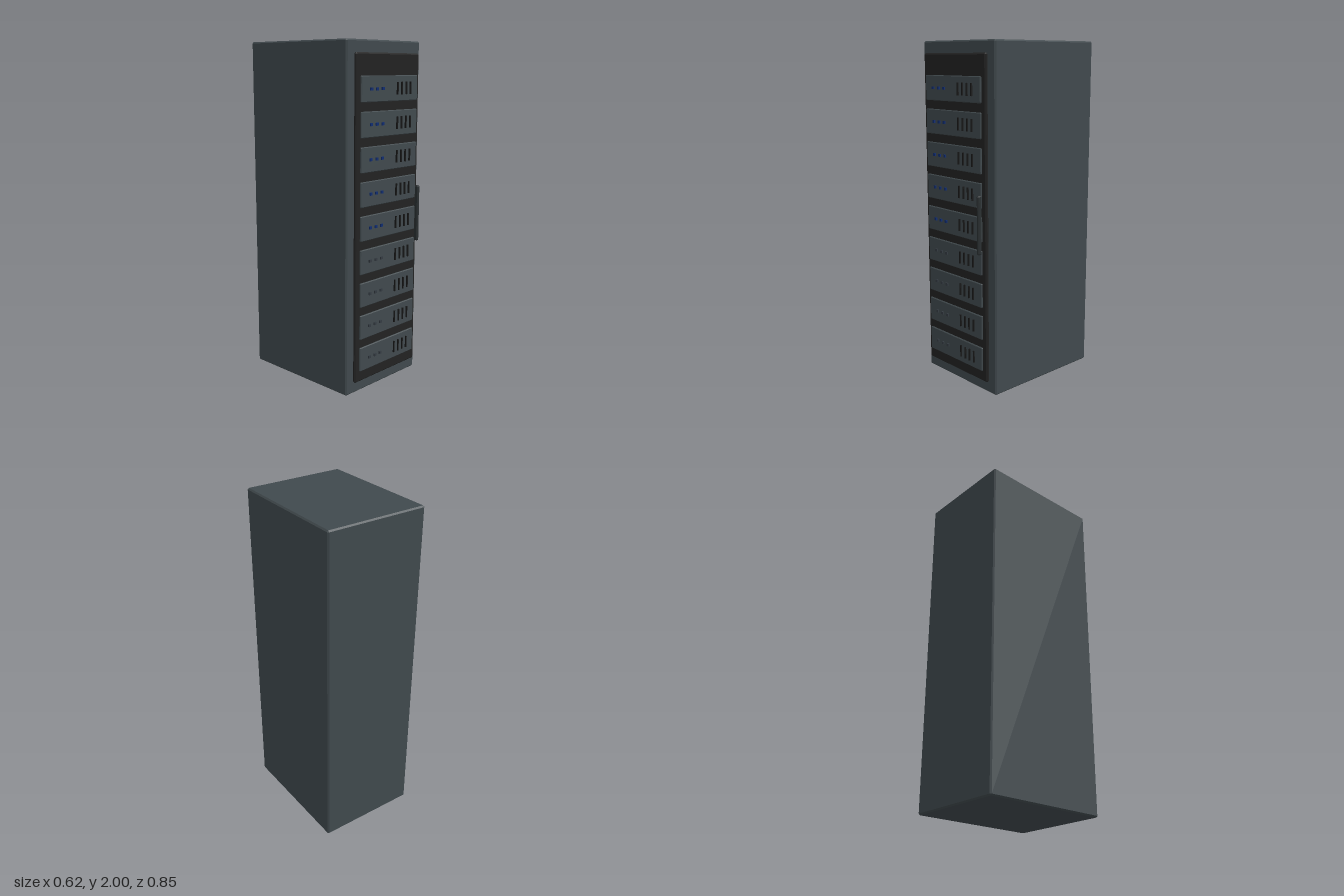
import * as THREE from 'three';
import { ConvexGeometry } from 'three/addons/geometries/ConvexGeometry.js';

function material(name, color) {
  const m = new THREE.MeshStandardMaterial({ color });
  m.name = name;
  return m;
}

// Box with every edge cut by a flat chamfer c
function chamferBox(w, h, d, c) {
  const points = [];
  const x = w / 2, y = h / 2, z = d / 2;
  for (const i of [-1, 1]) for (const j of [-1, 1]) for (const k of [-1, 1]) {
    points.push(
      new THREE.Vector3(i * x, j * (y - c), k * (z - c)),
      new THREE.Vector3(i * (x - c), j * y, k * (z - c)),
      new THREE.Vector3(i * (x - c), j * (y - c), k * z),
    );
  }
  return new ConvexGeometry(points);
}

function add(parent, name, geometry, mat, x, y, z) {
  const mesh = new THREE.Mesh(geometry, mat);
  mesh.name = name;
  mesh.position.set(x, y, z);
  parent.add(mesh);
  return mesh;
}

export function createModel() {
  const steel = material('slate steel', 0x40494d);
  const black = material('door black', 0x222222);
  const ventBlack = material('vent black', 0x181818);
  const handleGrey = material('handle grey', 0x2a2f31);
  const blue = material('lit blue', 0x0f2c70);
  const off = material('unlit grey', 0x343b42);

  const model = new THREE.Group();
  model.name = 'serverRack';

  // Cabinet and the door panel floating just ahead of it
  add(model, 'cabinet', chamferBox(0.616, 2, 0.778, 0.008), steel, 0, 1, -0.036);
  add(model, 'doorPanel', chamferBox(0.532, 1.856, 0.023, 0.008), black, 0, 1.003, 0.3735);

  // Nine server units, the top five with lit indicators
  const unitGeometry = chamferBox(0.476, 0.142, 0.012, 0.004);
  const lightGeometry = new THREE.BoxGeometry(0.017, 0.016, 0.01);
  const ventGeometry = new THREE.BoxGeometry(0.008, 0.07, 0.01);
  for (let i = 0; i < 9; i++) {
    const unit = new THREE.Group();
    unit.name = `serverUnit${i + 1}`;
    unit.position.y = 0.212 + i * 0.1908;
    model.add(unit);
    add(unit, 'unitFace', unitGeometry, steel, 0, 0, 0.391);
    for (let j = 0; j < 3; j++) {
      add(unit, 'indicatorLight', lightGeometry, i >= 4 ? blue : off, -0.163 + j * 0.0475, 0, 0.4);
    }
    for (let j = 0; j < 4; j++) {
      add(unit, 'ventSlot', ventGeometry, ventBlack, 0.056 + j * 0.038, 0, 0.4);
    }
  }

  // Upright door handle
  add(model, 'doorHandle', chamferBox(0.02, 0.333, 0.026, 0.006), handleGrey, 0.238, 1.004, 0.411);

  return model;
}
